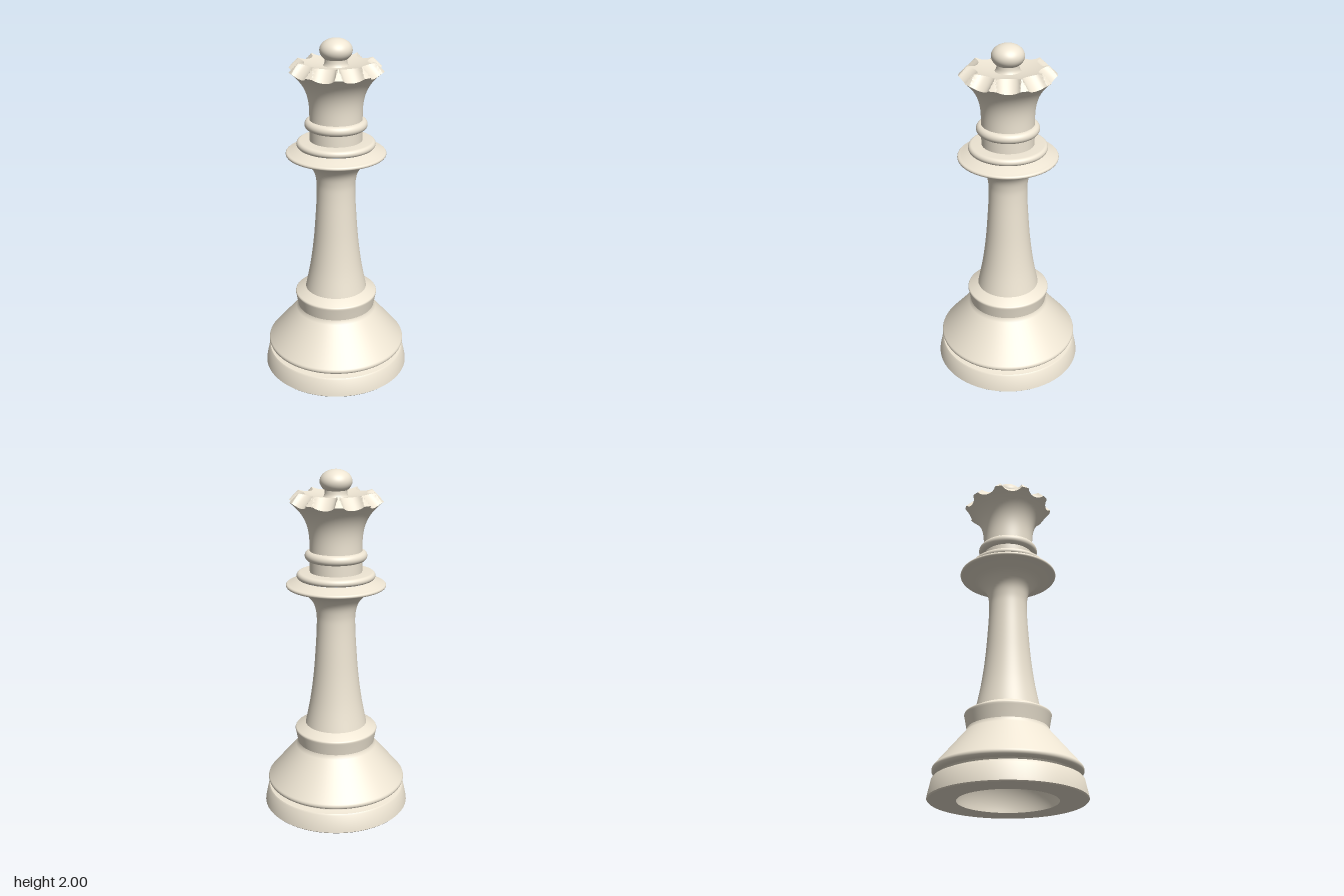
import * as THREE from 'three';
import { toCreasedNormals } from 'three/addons/utils/BufferGeometryUtils.js';

const material = new THREE.MeshStandardMaterial({ color: 0xeee5d3 });
const V = (x, y) => new THREE.Vector2(x, y);

// Smooth profile through a few [r, y] points
const spline = (pts, n = 20) => new THREE.SplineCurve(pts.map(p => V(...p))).getPoints(n);

// Elliptical profile arc, angles in degrees
function arc(cx, cy, rx, ry, a0, a1, n = 14) {
  return Array.from({ length: n + 1 }, (_, i) => {
    const a = THREE.MathUtils.degToRad(a0 + (a1 - a0) * i / n);
    return V(Math.max(0, cx + rx * Math.cos(a)), cy + ry * Math.sin(a));
  });
}

// Crease at a large scale so that close vertices stay distinct
function crease(geometry, angle = 0.55) {
  geometry.scale(100, 100, 100);
  const g = toCreasedNormals(geometry, angle);
  g.scale(0.01, 0.01, 0.01);
  return g;
}

function part(name, geometry) {
  const mesh = new THREE.Mesh(crease(geometry), material);
  mesh.name = name;
  return mesh;
}
const turned = (name, pts) => part(name, new THREE.LatheGeometry(pts, 96));

// Crown: flared cup whose rim is scooped by ten sloping round notches
function crownGeometry() {
  const N = 320, FLARE = 22, BOWL = 16, RIM = 16, step = Math.PI / 5;
  const ridge = 0.217, scoop = 0.066;
  const flareR = t => 0.148 + 0.116 * t ** 3;
  const flareY = t => 1.56 + 0.27 * t;
  const topY = r => r > ridge ? 1.88 - (r - ridge) * 1.064 : 1.85 + 0.03 * (r / ridge) ** 2;
  const cutY = (r, d) => {
    const s = r * Math.sin(d);
    if (Math.abs(s) >= scoop) return Infinity;
    return 1.865 - 0.9 * (r - 0.175) + 1.2 * (scoop - Math.sqrt(scoop * scoop - s * s));
  };
  // Last value in [lo, hi] for which ok() still holds
  const bisect = (lo, hi, ok) => {
    if (ok(hi)) return hi;
    for (let k = 0; k < 30; k++) {
      const m = (lo + hi) / 2;
      if (ok(m)) lo = m; else hi = m;
    }
    return lo;
  };
  const pos = [], idx = [], rows = FLARE + BOWL + RIM + 1;
  for (let i = 0; i < N; i++) {
    const a = 2 * Math.PI * i / N, d = (a % step) - step / 2;
    const tMax = bisect(0, 1, t => cutY(flareR(t), d) >= flareY(t));
    const rMax = flareR(tMax);
    const rIn = bisect(0.04, Math.min(ridge, rMax), r => cutY(r, d) >= topY(r));
    const column = [];
    for (let j = 0; j <= FLARE; j++) column.push([flareR(tMax * j / FLARE), flareY(tMax * j / FLARE)]);
    for (let j = 1; j <= RIM; j++) {
      const r = rMax + (rIn - rMax) * j / RIM;
      column.push([r, Math.min(topY(r), cutY(r, d))]);
    }
    for (let j = 1; j <= BOWL; j++) {
      const r = rIn + (0.04 - rIn) * j / BOWL;
      column.push([r, topY(r)]);
    }
    for (const [r, y] of column) pos.push(r * Math.sin(a), y, r * Math.cos(a));
  }
  for (let i = 0; i < N; i++) {
    for (let j = 0; j < rows - 1; j++) {
      const a = i * rows + j, b = ((i + 1) % N) * rows + j;
      idx.push(a, b, b + 1, a, b + 1, a + 1);
    }
  }
  const g = new THREE.BufferGeometry();
  g.setAttribute('position', new THREE.Float32BufferAttribute(pos, 3));
  g.setIndex(idx);
  return g;
}

export function createModel() {
  const group = new THREE.Group();
  group.name = 'chessQueen';

  // Foot with domed hollow underneath, groove, sloping shoulder
  group.add(turned('base', [
    ...arc(0, 0, 0.275, 0.27, 90, 0, 24),
    V(0.426, 0), V(0.432, 0.006), V(0.43, 0.02),
    V(0.412, 0.104), V(0.406, 0.112), V(0.385, 0.116),
    V(0.372, 0.12), V(0.37, 0.128), V(0.376, 0.136),
    ...arc(0.388, 0.159, 0.023, 0.021, -75, 40, 10),
    V(0.24, 0.37), V(0.231, 0.382), V(0.228, 0.395),
  ]));

  // Collar above the shoulder
  group.add(turned('lowerCollar', [
    V(0.228, 0.395), V(0.241, 0.465),
    ...arc(0.231, 0.474, 0.012, 0.012, 0, 60, 6),
    V(0.181, 0.512),
  ]));

  // Tapering stem flaring into the wide collar
  group.add(turned('stem', [
    ...spline([[0.181, 0.512], [0.152, 0.66], [0.131, 0.82], [0.117, 1.0], [0.111, 1.12],
      [0.113, 1.19], [0.129, 1.25], [0.17, 1.3], [0.225, 1.328], [0.272, 1.344]], 48),
    ...arc(0.272, 1.355, 0.012, 0.011, -70, 70, 10),
    ...spline([[0.27, 1.367], [0.235, 1.38], [0.205, 1.39]], 6),
  ]));

  // Thin bead and neck
  group.add(turned('upperCollar', [
    V(0.19, 1.39), ...arc(0.203, 1.411, 0.02, 0.02, -90, 90),
    V(0.148, 1.433), V(0.148, 1.56),
  ]));
  group.add(turned('neckRing', arc(0.148, 1.524, 0.028, 0.028, -90, 90)));

  group.add(part('crown', crownGeometry()));

  // Flattened ball on a short stalk
  group.add(turned('finial', [
    V(0.075, 1.848), V(0.066, 1.858), V(0.062, 1.872), V(0.062, 1.888),
    ...arc(0, 1.935, 0.09, 0.065, -46, 90, 30),
  ]));

  return group;
}
